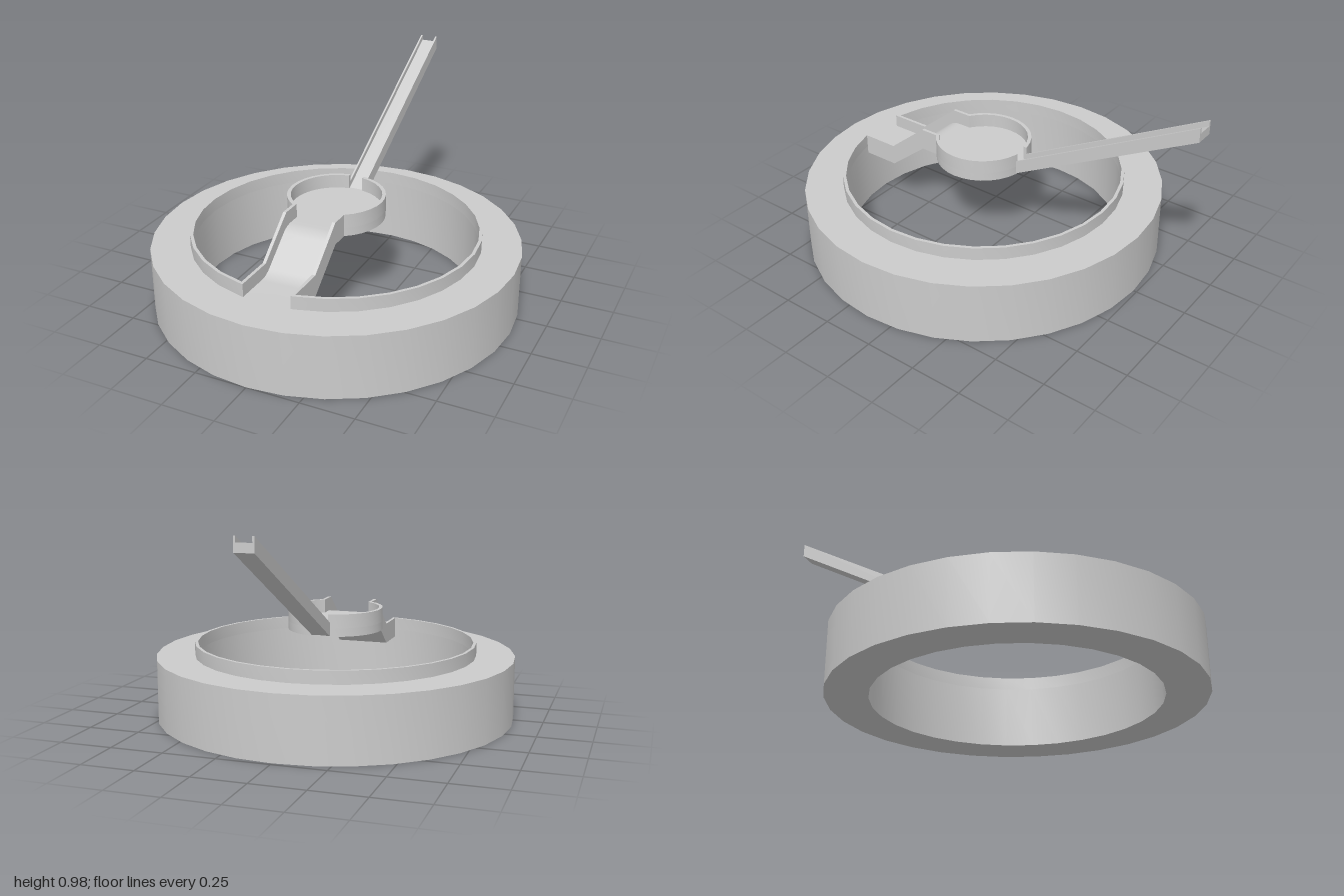
import * as THREE from 'three';
import { toCreasedNormals } from 'three/addons/utils/BufferGeometryUtils.js';

const CZ = 0.133;                 // centre of ring and cup along z
const STEP = Math.PI / 16;        // 32-sided circles
const material = new THREE.MeshStandardMaterial({ color: 0xcccccc });

function addMesh(group, name, geometry) {
  const mesh = new THREE.Mesh(toCreasedNormals(geometry, 0.5), material);
  mesh.name = name;
  group.add(mesh);
}

// Points on a circle, angle measured from the front (+z) towards +x
function arc(r, a0, a1) {
  const angles = [a0];
  for (let i = Math.floor(a0 / STEP) + 1; i * STEP < a1 - 1e-4; i++) {
    if (i * STEP > a0 + 1e-4) angles.push(i * STEP);
  }
  angles.push(a1);
  return angles.map(a => new THREE.Vector2(r * Math.sin(a), CZ + r * Math.cos(a)));
}
const circle = r => arc(r, 0, 2 * Math.PI).slice(0, -1);

// Plan outline in x,z raised from y0 to y1
function raise(shape, y0, y1) {
  return new THREE.ExtrudeGeometry(shape, { depth: y1 - y0, bevelEnabled: false })
    .rotateX(Math.PI / 2).translate(0, y1, 0);
}

// Side outline in z,y spanning x0 to x1
function span(points, x0, x1) {
  const shape = new THREE.Shape(points.map(p => new THREE.Vector2(...p)));
  return new THREE.ExtrudeGeometry(shape, { depth: x1 - x0, bevelEnabled: false })
    .rotateY(-Math.PI / 2).translate(x1, 0, 0);
}

// Rounded bend between two side-outline points
function bend(from, corner, to) {
  return new THREE.QuadraticBezierCurve(
    new THREE.Vector2(...from), new THREE.Vector2(...corner), new THREE.Vector2(...to)
  ).getPoints(5);
}

// Curved wall whose ends are cut straight at the given half widths
function curvedWall(rIn, rOut, ends, y0, y1) {
  const outer = arc(rOut, ...ends(rOut));
  const inner = arc(rIn, ...ends(rIn)).reverse();
  return raise(new THREE.Shape([...outer, ...inner]), y0, y1);
}

// Floor plus two side walls
function addChannel(group, name, floor, wall, inner, outer) {
  addMesh(group, name + 'Floor', span(floor, -inner, inner));
  addMesh(group, name + 'WallLeft', span(wall, inner, outer));
  addMesh(group, name + 'WallRight', span(wall, -outer, -inner));
}

export function createModel() {
  const model = new THREE.Group();
  model.name = 'funnelRing';

  const rampIn = 0.114, rampOut = 0.129;
  const chuteIn = 0.035, chuteOut = 0.044;
  const cupR = 0.229;

  // Angles that leave the ramp's width open at the front
  const rampEnds = r => [Math.asin(rampIn / r), 2 * Math.PI - Math.asin(rampIn / r)];

  // Heavy base ring
  const ring = new THREE.Shape(circle(0.867));
  ring.holes.push(new THREE.Path(circle(0.667).reverse()));
  addMesh(model, 'baseRing', raise(ring, 0, 0.302));

  // Thin raised rim, open at the ramp
  addMesh(model, 'rim', curvedWall(0.667, 0.682, rampEnds, 0.302, 0.364));

  // Central cup: floor and two half walls, open to ramp and chute
  addMesh(model, 'cupFloor', raise(new THREE.Shape(arc(cupR, ...rampEnds(cupR))), 0.42, 0.46));
  const cupEnds = r => [Math.asin(rampIn / r), Math.PI - Math.asin(chuteIn / r)];
  const cupEndsRight = r => cupEnds(r).map(a => 2 * Math.PI - a).reverse();
  addMesh(model, 'cupWallLeft', curvedWall(0.212, cupR, cupEnds, 0.46, 0.526));
  addMesh(model, 'cupWallRight', curvedWall(0.212, cupR, cupEndsRight, 0.46, 0.526));

  // Ramp stepping down from the cup to the ring
  const rampStart = CZ + Math.sqrt(cupR ** 2 - rampIn ** 2);
  addChannel(model, 'ramp',
    [[rampStart, 0.42], [0.41, 0.42], [0.607, 0.262], [0.805, 0.262], [0.805, 0.302],
      ...bend([0.645, 0.302], [0.607, 0.302], [0.577, 0.326]),
      ...bend([0.44, 0.436], [0.41, 0.46], [0.372, 0.46]), [rampStart, 0.46]],
    [[0.312, 0.42], [0.41, 0.42], [0.607, 0.262], [0.802, 0.262],
      [0.802, 0.364], [0.607, 0.364], [0.41, 0.526], [0.312, 0.526]],
    rampIn, rampOut);

  // Long chute rising to the back
  addChannel(model, 'chute',
    [[-0.085, 0.42], [-0.085, 0.46], [-1, 0.952], [-1, 0.912]],
    [[-0.085, 0.42], [-0.085, 0.485], [-1, 0.978], [-1, 0.912]],
    chuteIn, chuteOut);

  return model;
}
